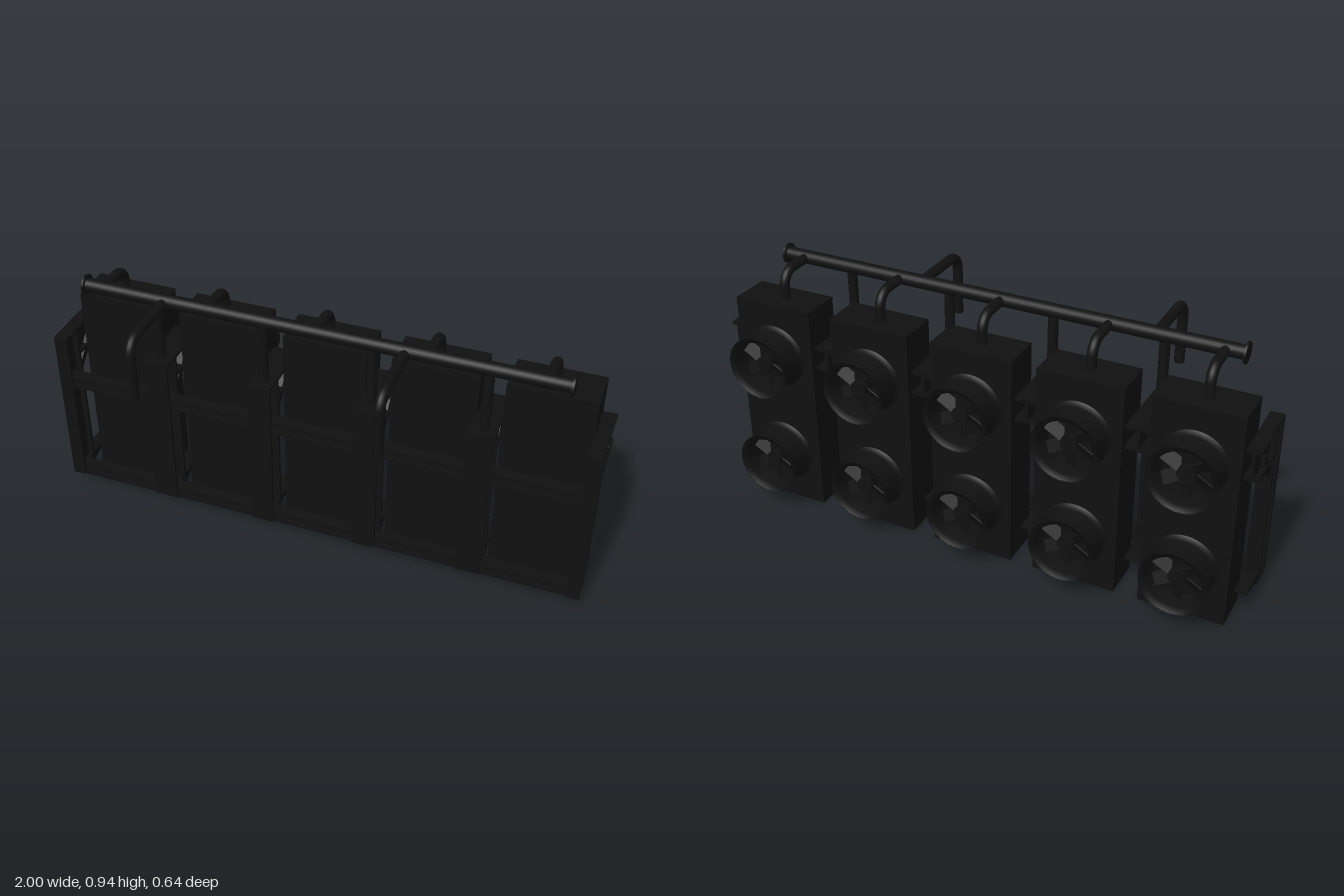
import * as THREE from 'three';

const mat = new THREE.MeshStandardMaterial({ color: 0x101010 });
const matDouble = new THREE.MeshStandardMaterial({ color: 0x101010, side: THREE.DoubleSide });

function add(parent, name, geo, x = 0, y = 0, z = 0, m = mat) {
  const mesh = new THREE.Mesh(geo, m);
  mesh.name = name;
  mesh.position.set(x, y, z);
  parent.add(mesh);
  return mesh;
}

// I-section beam, flanges at +-h/2, running from z = 0 to z = length
function beam(w, h, t, length) {
  const a = w / 2, b = h / 2, c = t / 2;
  const pts = [[-a, -b], [a, -b], [a, t - b], [c, t - b], [c, b - t], [a, b - t],
    [a, b], [-a, b], [-a, b - t], [-c, b - t], [-c, t - b], [-a, t - b]];
  const shape = new THREE.Shape(pts.map(p => new THREE.Vector2(...p)));
  return new THREE.ExtrudeGeometry(shape, { depth: length, bevelEnabled: false });
}

// Plate given by a (z, y) outline, with its thickness along x
function sidePlate(pts, w) {
  const shape = new THREE.Shape(pts.map(([z, y]) => new THREE.Vector2(-z, y)));
  return new THREE.ExtrudeGeometry(shape, { depth: w, bevelEnabled: false })
    .translate(0, 0, -w / 2).rotateY(Math.PI / 2);
}

// Pipe leaving the header horizontally and bending down
function bentPipe(z0, z1, yTop, yEnd, r, bend) {
  const s = Math.sign(z1 - z0), v = (y, z) => new THREE.Vector3(0, y, z);
  const k = bend * 0.45;
  const path = new THREE.CurvePath();
  path.add(new THREE.LineCurve3(v(yTop, z0), v(yTop, z1 - s * bend)));
  path.add(new THREE.CubicBezierCurve3(v(yTop, z1 - s * bend), v(yTop, z1 - s * k),
    v(yTop - k, z1), v(yTop - bend, z1)));
  path.add(new THREE.LineCurve3(v(yTop - bend, z1), v(yEnd, z1)));
  return new THREE.TubeGeometry(path, 48, r, 16, false);
}

// Round fan housing with flared rims, hub and blades, facing -z
function makeFan() {
  const fan = new THREE.Group();
  fan.name = 'fan';
  const profile = [[0.119, 0], [0.119, 0.004], [0.103, 0.014], [0.103, 0.105], [0.119, 0.118],
    [0.115, 0.118], [0.098, 0.105], [0.098, 0.02]];
  const shell = new THREE.LatheGeometry(profile.map(p => new THREE.Vector2(...p)), 40);
  add(fan, 'fanHousing', shell.rotateX(-Math.PI / 2), 0, 0, 0, matDouble);
  add(fan, 'fanBackPlate', new THREE.CylinderGeometry(0.1, 0.1, 0.02, 40).rotateX(Math.PI / 2), 0, 0, -0.012);
  add(fan, 'fanHub', new THREE.CylinderGeometry(0.03, 0.03, 0.06, 24).rotateX(Math.PI / 2), 0, 0, -0.05);
  for (let i = 0; i < 6; i++) {
    const blade = new THREE.BoxGeometry(0.045, 0.07, 0.004).rotateY(0.5).translate(0, 0.06, 0);
    add(fan, 'fanBlade', blade.rotateZ(i * Math.PI / 3), 0, 0, -0.055);
  }
  return fan;
}

// Post with top arm, diagonal brace and tapered foot arm
function makeFrame(w, top, back) {
  const frame = new THREE.Group();
  frame.name = 'supportFrame';
  const bottom = 0.05, armH = top - 0.57;
  add(frame, 'post', beam(w, 0.085, 0.012, top - bottom).rotateX(-Math.PI / 2), 0, bottom, 0.0425);
  add(frame, 'postCap', new THREE.BoxGeometry(w, 0.01, 0.084), 0, top - 0.005, 0.0425);
  add(frame, 'topArm', beam(w, armH, 0.012, back), 0, 0.57 + armH / 2, -back);
  add(frame, 'diagonalBrace', sidePlate([[0.005, 0.487], [-0.1, 0.59], [-0.1, 0.635], [0.005, 0.52]], w * 0.8));
  add(frame, 'footArm', sidePlate([[0.035, 0.051], [-0.045, 0.077], [-0.13, 0.095], [-0.13, 0.1], [0.035, 0.1]], w * 0.9));
  return frame;
}

export function createModel() {
  const model = new THREE.Group();
  model.name = 'coolerBank';
  const pitch = 0.397, headerY = 0.903, headerZ = 0.028;

  // Five cooler cabinets, each with two fans and a feed pipe
  for (let i = -2; i <= 2; i++) {
    const unit = new THREE.Group();
    unit.name = 'coolerUnit';
    unit.position.x = i * pitch;
    add(unit, 'cabinet', new THREE.BoxGeometry(0.308, 0.804, 0.155), 0, 0.402, -0.1225);
    for (const y of [0.2, 0.603]) {
      const fan = makeFan();
      fan.position.set(0, y, -0.2);
      unit.add(fan);
    }
    add(unit, 'feedPipe', bentPipe(headerZ, -0.122, headerY, 0.79, 0.018, 0.055), -0.007);
    model.add(unit);
  }

  // End frames, and frames with header supports between the cabinets
  for (const s of [-1, 1]) {
    const end = makeFrame(0.05, 0.684, 0.175);
    end.position.x = s * 0.975;
    model.add(end);
    for (const k of [0.5, 1.5]) {
      const inner = makeFrame(0.088, 0.66, 0.175);
      inner.position.x = s * k * pitch;
      add(inner, 'headerSupport', new THREE.CylinderGeometry(0.018, 0.018, 0.25, 16), 0, 0.775, headerZ);
      model.add(inner);
    }
  }

  // Horizontal rails joining the posts
  for (const y of [0.077, 0.495]) {
    add(model, 'rail', beam(0.046, 0.045, 0.008, 1.998).rotateY(Math.PI / 2), -0.999, y, 0.06);
  }

  // Header pipe with end flanges and two drop pipes to the front
  const header = (r, len) => new THREE.CylinderGeometry(r, r, len, 24).rotateZ(Math.PI / 2);
  add(model, 'headerPipe', header(0.025, 1.74), 0, headerY, headerZ);
  for (const s of [-1, 1]) add(model, 'headerFlange', header(0.037, 0.008), s * 0.867, headerY, headerZ);
  for (const x of [-0.562, 0.313]) {
    add(model, 'dropPipe', bentPipe(headerZ, 0.301, headerY - 0.003, 0.667, 0.0185, 0.055), x);
    add(model, 'dropPipeEnd', new THREE.CylinderGeometry(0.0185, 0.0185, 0.004, 16), x, 0.669, 0.301);
  }
  return model;
}
